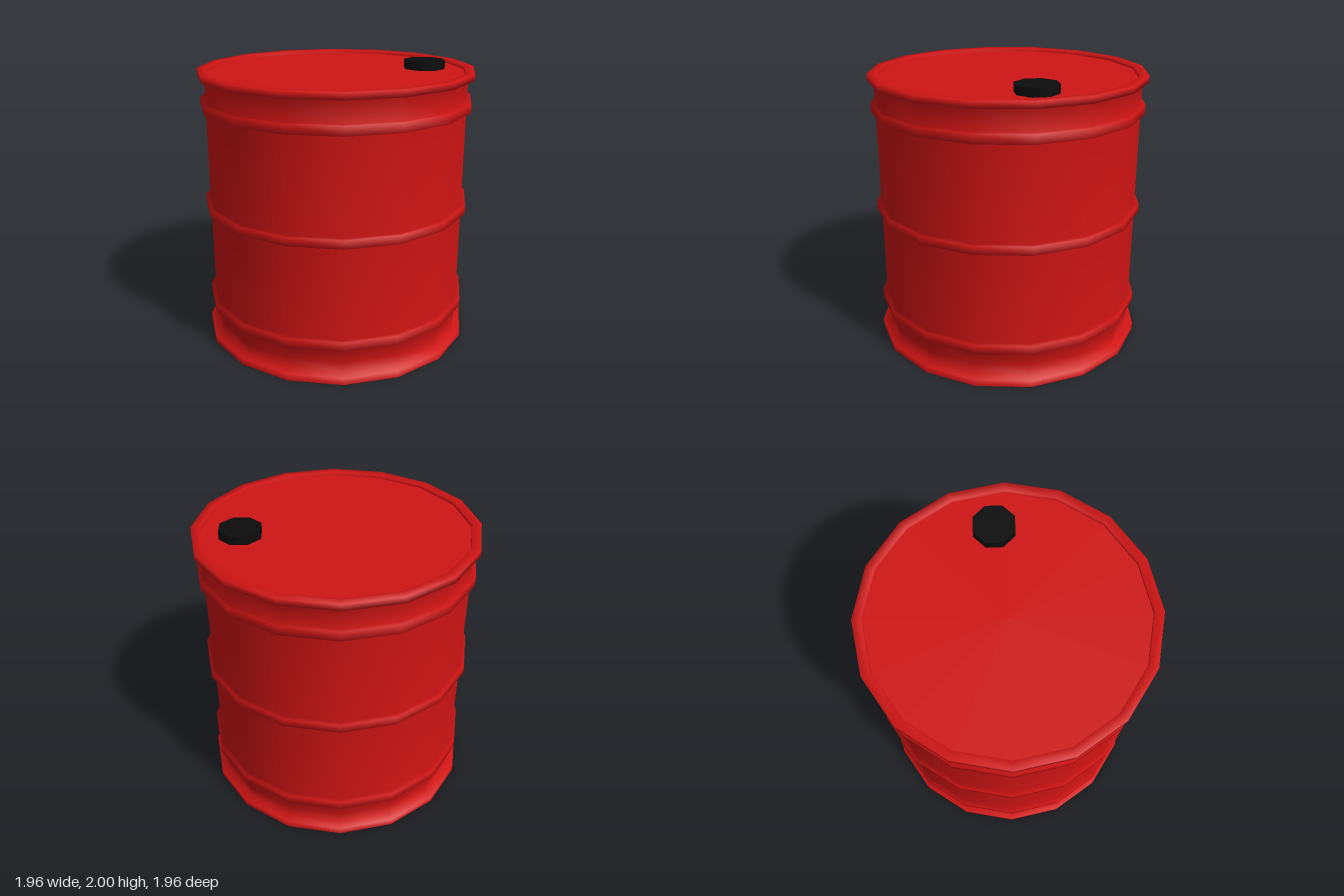
import * as THREE from 'three';

const SIDES = 16;
const red = new THREE.MeshStandardMaterial({ color: 0xd01414 });
const black = new THREE.MeshStandardMaterial({ color: 0x0c0c0c });

export function createModel() {
  const drum = new THREE.Group();
  drum.name = 'drum';

  const add = (name, geometry, material, x = 0, y = 0, z = 0) => {
    const mesh = new THREE.Mesh(geometry, material);
    mesh.name = name;
    mesh.position.set(x, y, z);
    drum.add(mesh);
    return mesh;
  };

  // Wall profile: bottom rim, tapered foot, three hoops, top rim with inner lip
  const body = 0.935;
  const profile = [[0.98, 0], [0.98, 0.05], [0.92, 0.05], [0.925, 0.14]];
  for (const [low, high] of [[0.245, 0.31], [0.975, 1.035], [1.7, 1.765]]) {
    profile.push([body, low], [0.967, low], [0.967, high], [body, high]);
  }
  profile.push([body, 1.92], [0.98, 1.92], [0.98, 1.965], [0.918, 1.965], [0.914, 1.94]);
  const points = profile.map(([r, y]) => new THREE.Vector2(r, y));
  add('wall', new THREE.LatheGeometry(points, SIDES), red);

  // Flat recessed lid and flat base
  add('lid', new THREE.CircleGeometry(0.914, SIDES).rotateX(-Math.PI / 2), red, 0, 1.94, 0);
  add('base', new THREE.CircleGeometry(0.98, SIDES).rotateX(Math.PI / 2), red);

  // Filler cap
  add('cap', new THREE.CylinderGeometry(0.15, 0.15, 0.06, 8), black, 0.62, 1.97, 0.175);

  return drum;
}
